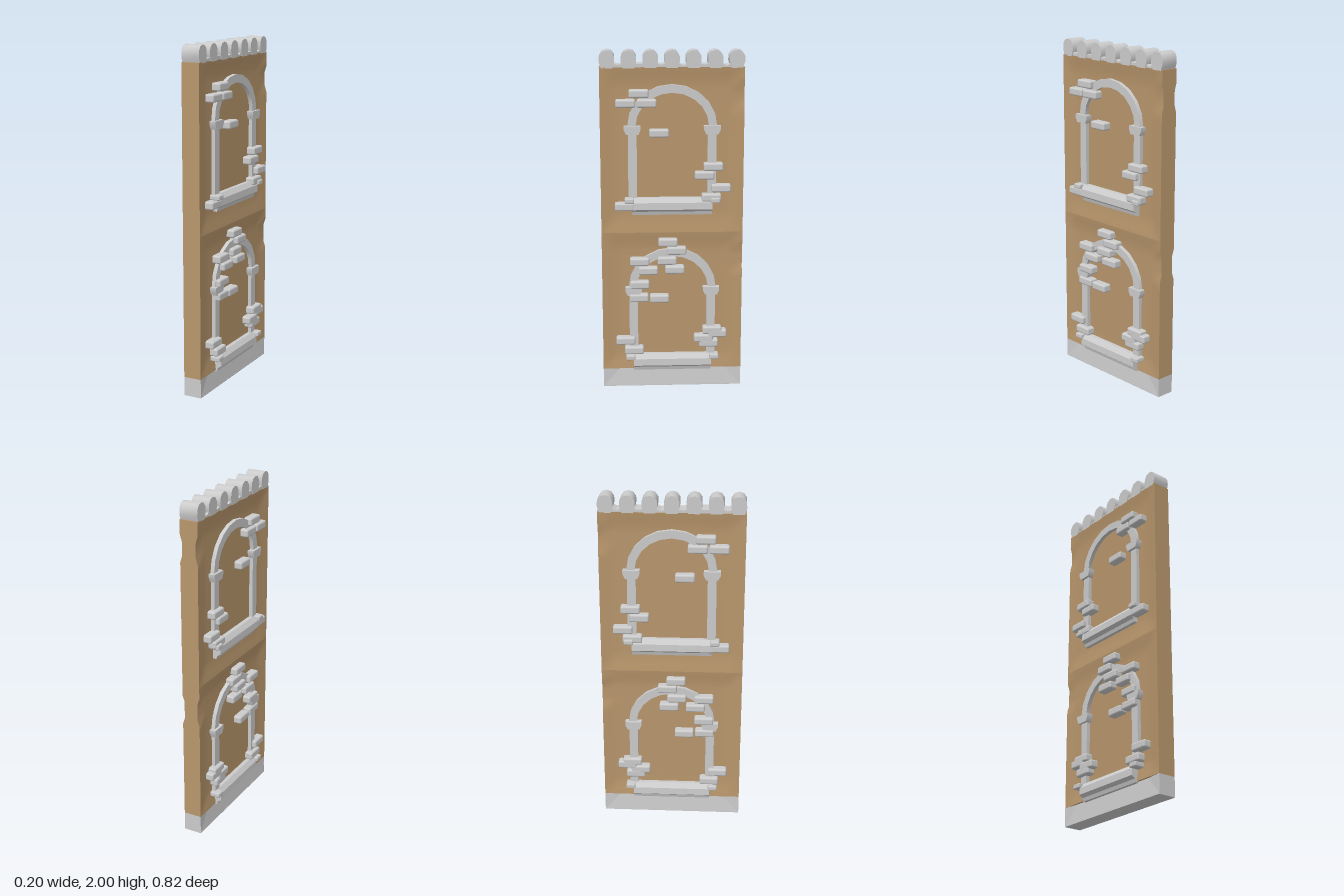
import * as THREE from 'three';
import { RoundedBoxGeometry } from 'three/addons/geometries/RoundedBoxGeometry.js';
import { toCreasedNormals } from 'three/addons/utils/BufferGeometryUtils.js';

const CX = 0.005; // middle of the wall's thickness
const HALF = 0.054; // half the wall's thickness
const stone = new THREE.MeshStandardMaterial({ color: 0xcccccc });
const plaster = new THREE.MeshStandardMaterial({ color: 0xb8966c });

function add(parent, name, geometry, material = stone) {
  const mesh = new THREE.Mesh(geometry, material);
  mesh.name = name;
  parent.add(mesh);
  return mesh;
}

function box(parent, name, thick, h, depth, y, z, material) {
  const mesh = add(parent, name, new THREE.BoxGeometry(thick, h, depth), material);
  mesh.position.set(CX, y, z);
  return mesh;
}

// Outline in (z, y), run through the wall along x
function through(points, thick, crease = 0.7) {
  const shape = new THREE.Shape(points.map(([z, y]) => new THREE.Vector2(-z, y)));
  const g = new THREE.ExtrudeGeometry(shape, { depth: thick, bevelEnabled: false });
  g.translate(0, 0, -thick / 2).rotateY(Math.PI / 2).translate(CX, 0, 0);
  return toCreasedNormals(g, crease);
}

// Profile in (x, y), run along z
function along(points, length) {
  const shape = new THREE.Shape(points.map(([x, y]) => new THREE.Vector2(x, y)));
  const g = new THREE.ExtrudeGeometry(shape, { depth: length, bevelEnabled: false });
  return toCreasedNormals(g.translate(CX, 0, -length / 2), 0.5);
}

// Wall storey with softly sunken faces and a dent near the upper back corner
function storeyWall(parent, y0, y1) {
  const h = y1 - y0;
  const g = new THREE.BoxGeometry(HALF * 2, h, 0.82, 1, 24, 22);
  const p = g.attributes.position;
  for (let i = 0; i < p.count; i++) {
    const y = p.getY(i), z = p.getZ(i);
    const edge = Math.min(0.41 - Math.abs(z), h / 2 - Math.abs(y));
    let sink = 0.012 * THREE.MathUtils.smoothstep(edge, 0, 0.09);
    if (z < -0.34 && Math.abs(y - (h / 2 - 0.15)) < 0.06) sink = 0.012;
    p.setX(i, Math.sign(p.getX(i)) * (HALF - sink));
  }
  g.computeVertexNormals();
  add(parent, 'storeyWall', toCreasedNormals(g, 0.7), plaster).position.set(CX, (y0 + y1) / 2, 0);
}

// Arched blind window, the same on both faces; y is the sill's underside
function archedWindow(parent, y) {
  const group = new THREE.Group();
  group.name = 'archedWindow';
  group.position.y = y;
  parent.add(group);

  // Arch ring
  const ring = [];
  const n = 10;
  for (let i = 0; i <= n; i++) {
    const a = (i / n) * Math.PI;
    ring.push([0.255 * Math.cos(a), 0.515 + 0.237 * Math.sin(a)]);
  }
  for (let i = n; i >= 0; i--) {
    const a = (i / n) * Math.PI;
    ring.push([0.208 * Math.cos(a), 0.515 + 0.19 * Math.sin(a)]);
  }
  add(group, 'arch', through(ring, 0.13));

  // Jambs, imposts and sill ends
  for (const s of [-1, 1]) {
    box(group, 'jamb', 0.128, 0.4, 0.05, 0.28, s * 0.227);
    const impost = [[-0.035, 0.47], [0.035, 0.47], [0.048, 0.498], [0.048, 0.518], [-0.048, 0.518], [-0.048, 0.498]];
    add(group, 'impost', through(impost.map(([z, v]) => [z + s * 0.227, v]), 0.16));
    const end = add(group, 'sillEnd', new RoundedBoxGeometry(0.205, 0.03, 0.055, 1, 0.008));
    end.position.set(CX, 0.088, s * 0.247);
  }

  // Sill, wider at the top
  add(group, 'sill', along([
    [-0.062, 0], [0.062, 0], [0.068, 0.02], [0.09, 0.035], [0.088, 0.075], [0.066, 0.102],
    [-0.066, 0.102], [-0.088, 0.075], [-0.09, 0.035], [-0.068, 0.02],
  ], 0.46));
}

// Loose bricks showing on both faces, as [z, y]
function bricks(parent, spots) {
  const g = new RoundedBoxGeometry(0.18, 0.046, 0.112, 2, 0.011);
  for (const [z, y] of spots) add(parent, 'brick', g).position.set(CX + 0.002, y, z);
}

export function createModel() {
  const model = new THREE.Group();
  model.name = 'wallPanel';

  // Plinth with mitred, sloping faces
  box(model, 'plinthCore', 0.085, 0.112, 0.81, 0.056, 0);
  for (const s of [-1, 1]) {
    const out = s * HALF, inn = s * 0.043;
    const v = [
      [out, 0, 0.41], [out, 0, -0.41], [inn, 0.112, -0.31], [inn, 0.112, 0.31],
      [out, 0.112, 0.41], [out, 0.112, -0.41],
    ];
    const faces = [0, 1, 2, 0, 2, 3, 0, 3, 4, 1, 5, 2];
    const g = new THREE.BufferGeometry();
    g.setAttribute('position', new THREE.Float32BufferAttribute(
      faces.flatMap((k, i) => v[s > 0 ? k : faces[i - (i % 3) + 2 - (i % 3)]]), 3));
    g.computeVertexNormals();
    add(model, 'plinthFace', g).position.x = CX;
    box(model, 'plinthEnd', HALF * 2, 0.112, 0.004, 0.056, s * 0.408);
  }
  box(model, 'plinthFoot', HALF * 2, 0.004, 0.82, 0.002, 0);

  // Two storeys
  storeyWall(model, 0.112, 0.95);
  storeyWall(model, 0.95, 1.905);
  archedWindow(model, 0.105);
  archedWindow(model, 1.058);

  // Bricks of the lower, then the upper storey
  bricks(model, [
    [0.025, 0.895], [-0.025, 0.845], [0.19, 0.78], [0.03, 0.785], [0.14, 0.725],
    [-0.015, 0.73], [0.19, 0.64], [0.195, 0.56], [0.075, 0.555], [-0.235, 0.355],
    [-0.265, 0.335], [-0.185, 0.305], [0.275, 0.295], [0.225, 0.235], [-0.215, 0.275],
  ]);
  bricks(model, [
    [0.19, 1.76], [0.265, 1.705], [0.145, 1.705], [0.075, 1.535], [-0.235, 1.34],
    [-0.185, 1.29], [-0.28, 1.215], [-0.225, 1.16], [0.275, 1.11],
  ]);

  // Row of rounded coping stones with low fill between them
  const outline = [
    [-0.032, 1.9], [0.032, 1.9], [0.043, 1.935], [0.042, 1.968], [0.026, 1.992],
    [0, 2], [-0.026, 1.992], [-0.042, 1.968], [-0.043, 1.935],
  ];
  for (let i = -3; i <= 3; i++) {
    const z = i * 0.1223;
    add(model, 'copingStone', through(outline.map(([a, y]) => [a + z, y]), HALF * 2, 0.9));
    if (i < 3) {
      const fill = [[-0.035, 1.9], [0.035, 1.9], [0.03, 1.925], [0, 1.918 + 0.006 * (i % 2)], [-0.03, 1.925]];
      add(model, 'copingFill', through(fill.map(([a, y]) => [a + z + 0.061, y]), 0.1));
    }
  }
  return model;
}
